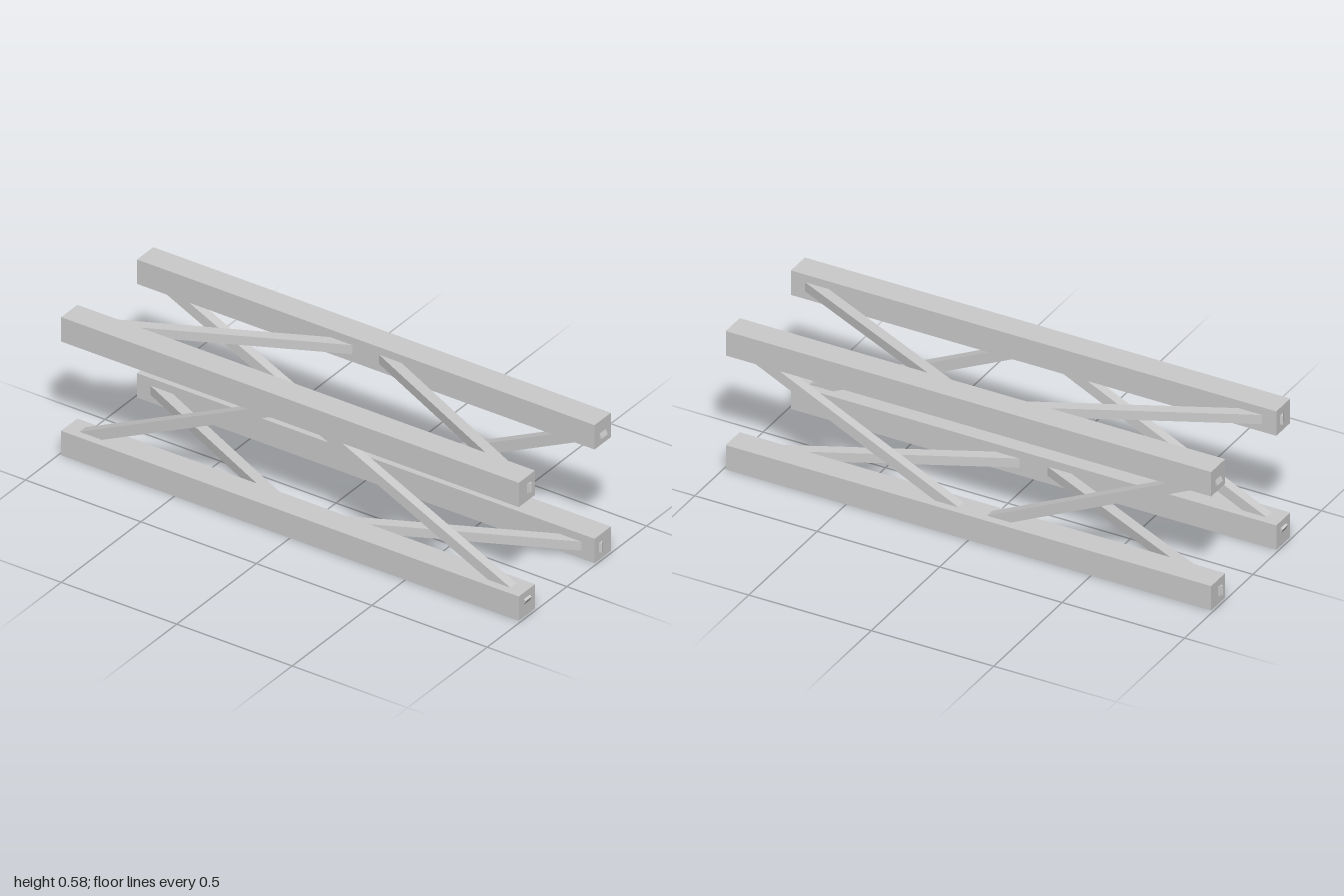
import * as THREE from 'three';

const CHORD = 0.102;          // square chord section
const HALF = 0.238;           // chord centre distance from the truss axis
const END = 0.991;            // half length of the chords
const BRACE_THICK = 0.042, BRACE_WIDTH = 0.038;

const material = new THREE.MeshStandardMaterial({ color: 0xcccccc, flatShading: true });

function box(name, x, y, z) {
  const mesh = new THREE.Mesh(new THREE.BoxGeometry(x, y, z), material);
  mesh.name = name;
  return mesh;
}

// One side of the truss: two braces from the lower chord ends to the upper chord middle
function bracedSide(name) {
  const side = new THREE.Group();
  side.name = name;
  const length = Math.hypot(END, 2 * HALF);
  const angle = Math.atan2(2 * HALF, END);
  for (const s of [-1, 1]) {
    const brace = box(s > 0 ? 'leftBrace' : 'rightBrace', length, BRACE_THICK, BRACE_WIDTH);
    brace.position.set(s * END / 2, 0, HALF);
    brace.rotation.z = -s * angle;
    side.add(brace);
  }
  return side;
}

export function createModel() {
  const model = new THREE.Group();
  model.name = 'boxTruss';
  const truss = new THREE.Group();
  truss.name = 'truss';
  truss.position.y = HALF + CHORD / 2;
  model.add(truss);

  // Four long chords
  for (const y of [-1, 1]) {
    for (const z of [-1, 1]) {
      const chord = box((y > 0 ? 'top' : 'bottom') + (z > 0 ? 'Front' : 'Back') + 'Chord', 2 * END, CHORD, CHORD);
      chord.position.set(0, y * HALF, z * HALF);
      truss.add(chord);
    }
  }

  // The same braced side turned a quarter each time about the long axis
  ['frontBraces', 'bottomBraces', 'backBraces', 'topBraces'].forEach((name, i) => {
    const side = bracedSide(name);
    side.rotation.x = i * Math.PI / 2;
    truss.add(side);
  });
  return model;
}
